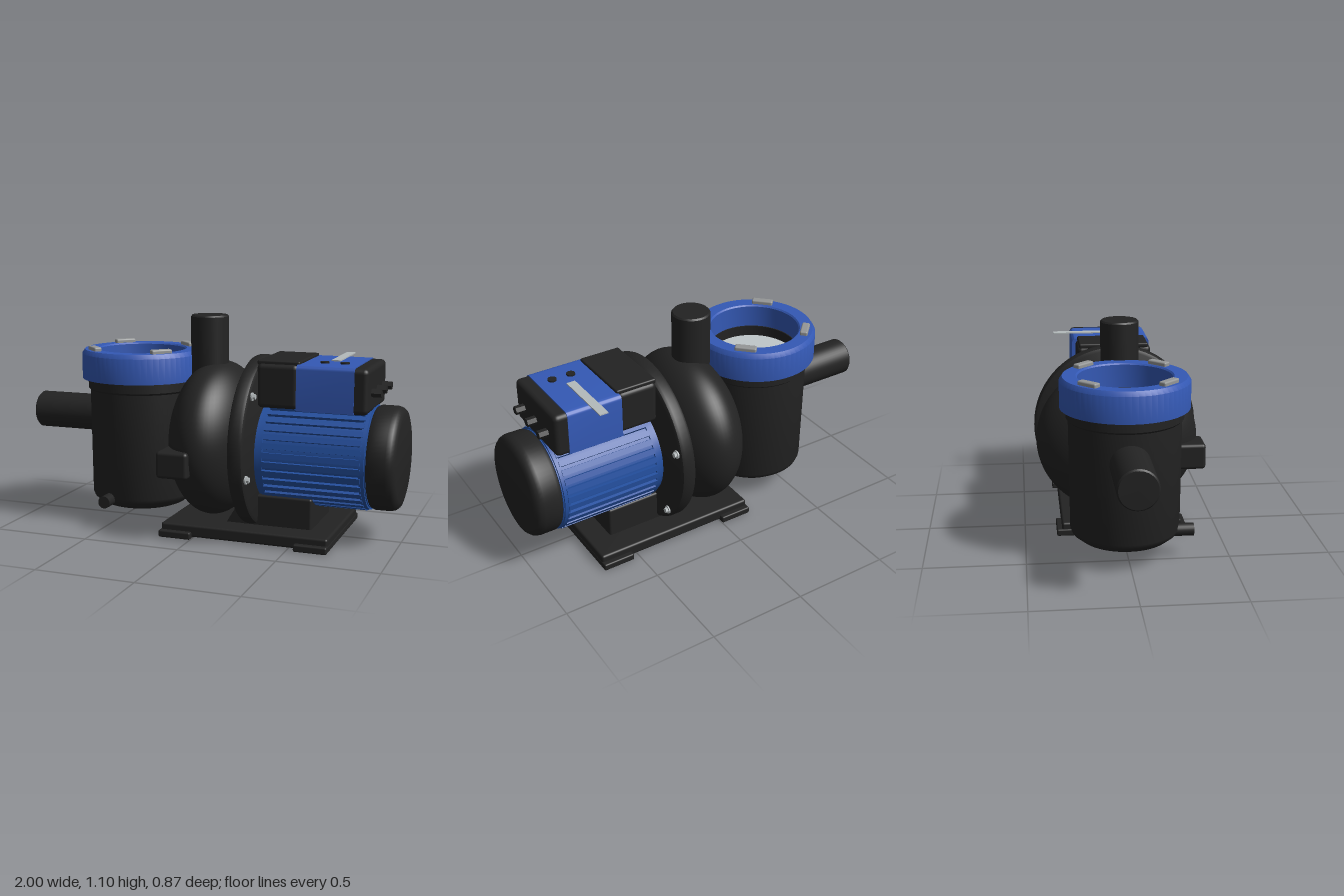
import * as THREE from 'three';
import { toCreasedNormals } from 'three/addons/utils/BufferGeometryUtils.js';
import { RoundedBoxGeometry } from 'three/addons/geometries/RoundedBoxGeometry.js';

const paint = (name, color) => {
  const m = new THREE.MeshStandardMaterial({ color });
  m.name = name;
  return m;
};

export function createModel() {
  const black = paint('black plastic', 0x232323);
  const blue = paint('bright blue', 0x3459b5);
  const motorBlue = paint('motor blue', 0x2450a0);
  const silver = paint('silver', 0xb4babc);
  const grey = paint('clip grey', 0x959797);
  const lidGrey = paint('lid grey', 0xc0c7ca);

  const model = new THREE.Group();
  model.name = 'pump';

  const add = (name, geometry, material, x = 0, y = 0, z = 0, parent = model) => {
    const mesh = new THREE.Mesh(geometry, material);
    mesh.name = name;
    mesh.position.set(x, y, z);
    parent.add(mesh);
    return mesh;
  };
  // Turned part from [radius, height] pairs, running up the outside
  const turned = (points, segments = 64) => toCreasedNormals(
    new THREE.LatheGeometry(points.map(p => new THREE.Vector2(...p)), segments), 0.6);
  // The same, with its axis along x
  const turnedX = (points, segments) => turned(points, segments).rotateZ(-Math.PI / 2);
  // Box given by its limits
  const block = (name, material, [x0, x1], [y0, y1], [z0, z1], r = 0.012) =>
    add(name, new RoundedBoxGeometry(x1 - x0, y1 - y0, z1 - z0, 3, r), material,
      (x0 + x1) / 2, (y0 + y1) / 2, (z0 + z1) / 2);

  // Strainer pot with clear lid, locking ring and clips
  const pot = new THREE.Group();
  pot.name = 'strainerPot';
  pot.position.set(-0.4, 0, -0.01);
  model.add(pot);
  add('potBody', turned([[0, 0.09], [0.2, 0.09], [0.225, 0.1], [0.262, 0.13], [0.27, 0.15],
    [0.275, 0.7], [0.285, 0.71], [0.285, 0.79], [0.222, 0.79], [0.222, 0.72]]), black, 0, 0, 0, pot);
  add('lidDisc', new THREE.CylinderGeometry(0.223, 0.223, 0.01, 64), lidGrey, 0, 0.73, 0, pot);
  add('lockingRing', turned([[0.28, 0.76], [0.315, 0.76], [0.315, 0.89], [0.3, 0.912],
    [0.235, 0.912], [0.228, 0.905], [0.228, 0.785]]), blue, 0, 0, 0, pot);
  for (let i = 0; i < 4; i++) {
    const a = Math.PI / 4 + i * Math.PI / 2;
    add('ringClip', new RoundedBoxGeometry(0.04, 0.04, 0.11, 2, 0.008), grey,
      Math.cos(a) * 0.262, 0.912, -Math.sin(a) * 0.262, pot).rotation.y = a;
  }
  block('potInnerWall', black, [-0.23, -0.165], [0.6, 0.775], [-0.145, 0.125], 0.004);
  add('drainPlug', new THREE.CylinderGeometry(0.032, 0.032, 0.1, 24).rotateX(Math.PI / 2),
    black, -0.48, 0.145, 0.27);

  // Pipes
  const pipe = length => turned([[0, 0], [0.097, 0], [0.097, length - 0.008],
    [0.09, length], [0, length]], 48);
  add('inletPipe', pipe(0.36).rotateZ(Math.PI / 2), black, -0.64, 0.55, -0.01);
  add('outletPipe', pipe(0.4), black, -0.015, 0.7, 0);

  // Rounded impeller housing and its side boss
  add('impellerHousing', new THREE.SphereGeometry(1, 64, 40).scale(0.225, 0.4, 0.42),
    black, 0.03, 0.465, -0.01);
  block('sideBoss', black, [-0.14, 0.025], [0.33, 0.465], [0.25, 0.437], 0.018);

  // Clamping flange with bolts
  add('flange', turnedX([[0, 0], [0.415, 0], [0.43, 0.008], [0.436, 0.022], [0.436, 0.06],
    [0.43, 0.074], [0.415, 0.082], [0, 0.082]], 80), black, 0.226, 0.47, 0);
  for (const [y, z] of [[0.74, 0.292], [0.585, -0.383], [0.348, 0.382], [0.195, -0.295]]) {
    add('boltWasher', new THREE.CylinderGeometry(0.021, 0.021, 0.008, 20).rotateZ(-Math.PI / 2),
      silver, 0.311, y, z);
    add('boltHead', toCreasedNormals(new THREE.CylinderGeometry(0.014, 0.014, 0.014, 6), 0.5)
      .rotateZ(-Math.PI / 2), silver, 0.321, y, z);
  }

  // Motor body with lengthwise cooling fins
  const motor = new THREE.Group();
  motor.name = 'motor';
  motor.position.set(0, 0.425, 0);
  model.add(motor);
  add('motorBody', turnedX([[0, 0.305], [0.252, 0.305], [0.252, 0.86], [0, 0.86]]),
    motorBlue, 0, 0, 0, motor);
  for (const x of [0.325, 0.83]) {
    add('motorBand', turnedX([[0.25, 0], [0.262, 0], [0.262, 0.025], [0.25, 0.025]]),
      motorBlue, x, 0, 0, motor);
  }
  const fin = new THREE.BoxGeometry(0.49, 0.022, 0.028);
  const fins = 36;
  for (let i = 0; i < fins; i++) {
    const a = (i + 0.5) * Math.PI * 2 / fins;
    add('coolingFin', fin, motorBlue, 0.593, Math.cos(a) * 0.256, Math.sin(a) * 0.256, motor)
      .rotation.x = a;
  }
  add('fanCover', turnedX([[0, 0], [0.235, 0], [0.252, 0.008], [0.26, 0.025], [0.26, 0.1],
    [0.254, 0.122], [0.24, 0.138], [0.215, 0.145], [0, 0.145]]), black, 0.855, 0, 0, motor);

  // Control box: black ends with a blue band between
  block('controlBoxFront', black, [0.3, 0.51], [0.67, 0.89], [-0.195, 0.2], 0.025);
  block('controlBoxLid', black, [0.3, 0.515], [0.88, 0.905], [-0.185, 0.185], 0.008);
  block('controlBoxEnd', black, [0.7, 0.857], [0.665, 0.887], [-0.212, 0.212], 0.025);
  const hw = 0.214, r = 0.03, y0 = 0.668, y1 = 0.892;
  const band = new THREE.Shape();
  band.moveTo(-hw, y0);
  band.lineTo(hw, y0);
  band.lineTo(hw, y1 - r);
  band.quadraticCurveTo(hw, y1, hw - r, y1);
  band.lineTo(r - hw, y1);
  band.quadraticCurveTo(-hw, y1, -hw, y1 - r);
  band.closePath();
  const bandGeo = new THREE.ExtrudeGeometry(band, { depth: 0.285, bevelEnabled: false, curveSegments: 8 });
  add('controlBoxBand', toCreasedNormals(bandGeo, 0.6).rotateY(Math.PI / 2), blue, 0.505, 0, 0);
  for (const x of [0.615, 0.715]) {
    add('button', new THREE.CylinderGeometry(0.022, 0.022, 0.012, 24), black, x, 0.894, 0.09);
  }
  add('topStrip', new THREE.BoxGeometry(0.045, 0.006, 0.33), silver, 0.652, 0.896, -0.147);
  for (const z of [-0.125, 0, 0.125]) {
    add('cableGland', toCreasedNormals(new THREE.CylinderGeometry(0.022, 0.022, 0.07, 6), 0.5)
      .rotateZ(-Math.PI / 2), black, 0.87, 0.765, z);
  }

  // Motor foot with a sloping front, on the base plate
  block('motorFoot', black, [0.22, 0.585], [0.06, 0.225], [-0.182, 0.182]);
  const slope = new THREE.Shape([[0.14, 0.065], [0.25, 0.065], [0.25, 0.21], [0.22, 0.2]]
    .map(p => new THREE.Vector2(...p)));
  add('footSlope', new THREE.ExtrudeGeometry(slope, { depth: 0.36, bevelEnabled: false }),
    black, 0, 0, -0.18);
  block('basePlate', black, [-0.165, 0.7], [0.008, 0.07], [-0.31, 0.31]);
  for (const x of [[-0.17, 0], [0.535, 0.702]]) {
    block('baseFoot', black, x, [0, 0.036], [-0.337, 0.337], 0.008);
  }

  return model;
}
